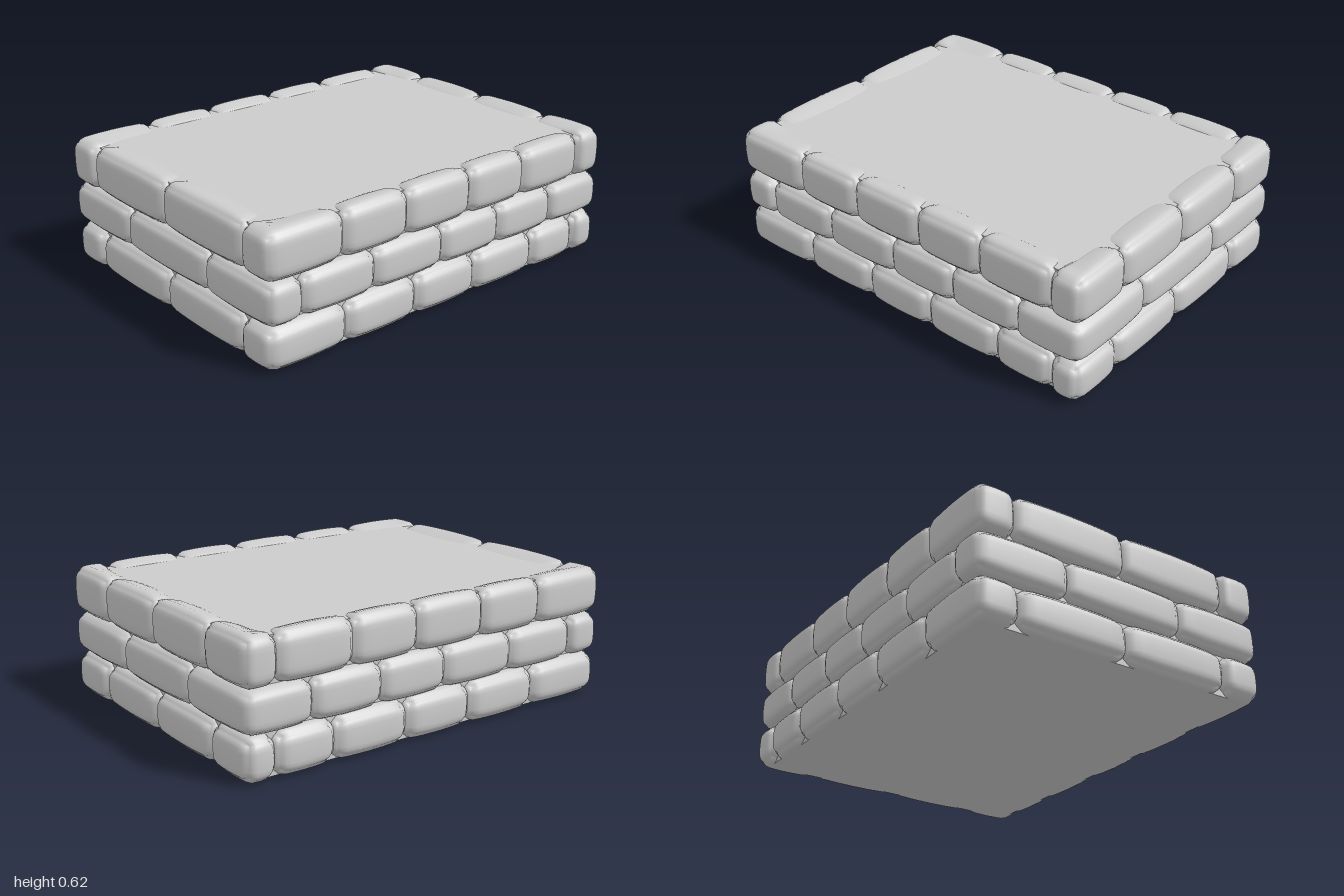
import * as THREE from 'three';
import { mergeVertices } from 'three/addons/utils/BufferGeometryUtils.js';

const HALF_X = 0.76, HALF_Z = 1.0, OVERLAP = 0.01;

// Joint positions per course: front and back along x, sides along z (mirrored left/right)
const COURSES = [
  { name: 'bottom', y: [0, 0.21], radius: 0.06,
    front: [-0.54, 0, 0.54], back: [-0.46, 0, 0.46], side: [-0.84, -0.55, -0.17, 0.19, 0.58] },
  { name: 'middle', y: [0.2, 0.405], radius: 0.05,
    front: [-0.3, 0.3], back: [-0.28, 0.27], side: [-0.66, -0.31, 0.04, 0.43, 0.81] },
  { name: 'top', y: [0.395, 0.625], radius: 0.05,
    front: [-0.56, 0, 0.56], back: [-0.43, 0, 0.43], side: [-0.83, -0.46, -0.12, 0.25, 0.6] },
];

// Pillow-shaped stone filling the box lo..hi
function stoneGeometry(lo, hi, radius) {
  const half = hi.clone().sub(lo).multiplyScalar(0.5);
  const centre = lo.clone().add(hi).multiplyScalar(0.5);
  const r = Math.min(radius, half.x * 0.8, half.y * 0.8, half.z * 0.8);
  let geo = new THREE.BoxGeometry(2, 2, 2, 10, 10, 10);
  geo.deleteAttribute('uv');
  geo.deleteAttribute('normal');
  geo = mergeVertices(geo);
  const pos = geo.attributes.position;
  const u = new THREE.Vector3(), p = new THREE.Vector3(), inner = new THREE.Vector3();
  const limit = half.clone().subScalar(r), minLimit = limit.clone().negate();
  const bias = (t) => Math.sign(t) * Math.abs(t) ** 0.6;
  for (let i = 0; i < pos.count; i++) {
    u.fromBufferAttribute(pos, i);
    u.set(bias(u.x), bias(u.y), bias(u.z));
    // Rounded edges
    p.copy(u).multiply(half);
    inner.copy(p).clamp(minLimit, limit);
    p.sub(inner).setLength(r).add(inner);
    // Crowned faces
    const k = 0.007, x2 = u.x * u.x, y2 = u.y * u.y, z2 = u.z * u.z;
    p.x -= k * u.x * (y2 + z2);
    p.y -= k * u.y * (x2 + z2);
    p.z -= k * u.z * (x2 + y2);
    p.add(centre);
    // Top and bottom courses sink gently into the slab towards the middle
    const inset = Math.max(0, Math.min(HALF_X - Math.abs(p.x), HALF_Z - Math.abs(p.z)) - 0.06);
    if (p.y > 0.5) p.y -= 0.25 * inset * Math.min(1, (p.y - 0.5) / 0.08);
    if (p.y < 0.1) p.y += 0.12 * inset * Math.min(1, (0.1 - p.y) / 0.08);
    pos.setXYZ(i, p.x, p.y, p.z);
  }
  geo.computeVertexNormals();
  return geo;
}

export function createModel() {
  const model = new THREE.Group();
  model.name = 'stonePlatform';
  const material = new THREE.MeshStandardMaterial({ color: 0xcccccc });

  // Solid core: gives the flat top, the flat underside and the backs of the joints
  const core = new THREE.Mesh(new THREE.BoxGeometry(1.4, 0.592, 1.88), material);
  core.name = 'coreSlab';
  core.position.y = 0.304;
  model.add(core);

  for (const course of COURSES) {
    const group = new THREE.Group();
    group.name = course.name + 'Course';
    model.add(group);

    const addStone = (name, x0, x1, z0, z1) => {
      const mesh = new THREE.Mesh(stoneGeometry(
        new THREE.Vector3(x0, course.y[0], z0),
        new THREE.Vector3(x1, course.y[1], z1), course.radius), material);
      mesh.name = name;
      group.add(mesh);
    };
    const e = OVERLAP;
    const zBack = course.side[0], zFront = course.side[course.side.length - 1];

    // Front and back runs between the corner stones
    for (let i = 0; i < course.front.length - 1; i++)
      addStone('frontStone', course.front[i] - e, course.front[i + 1] + e, 0.79, HALF_Z);
    for (let i = 0; i < course.back.length - 1; i++)
      addStone('backStone', course.back[i] - e, course.back[i + 1] + e, -HALF_Z, -0.81);

    // Side runs, mirrored
    for (const s of [-1, 1]) {
      const side = s > 0 ? 'left' : 'right';
      const addSide = (name, inside, z0, z1) =>
        addStone(side + name, Math.min(s * inside, s * HALF_X), Math.max(s * inside, s * HALF_X), z0, z1);
      for (let i = 0; i < course.side.length - 1; i++)
        addSide('SideStone', 0.59, course.side[i] - e, course.side[i + 1] + e);

      // Corner stones reach to the first joint on both faces
      const frontJoint = s > 0 ? course.front[course.front.length - 1] : -course.front[0];
      const backJoint = s > 0 ? course.back[course.back.length - 1] : -course.back[0];
      addSide('FrontCornerStone', frontJoint - e, zFront - e, HALF_Z);
      addSide('BackCornerStone', backJoint - e, -HALF_Z, zBack + e);
    }
  }
  return model;
}
